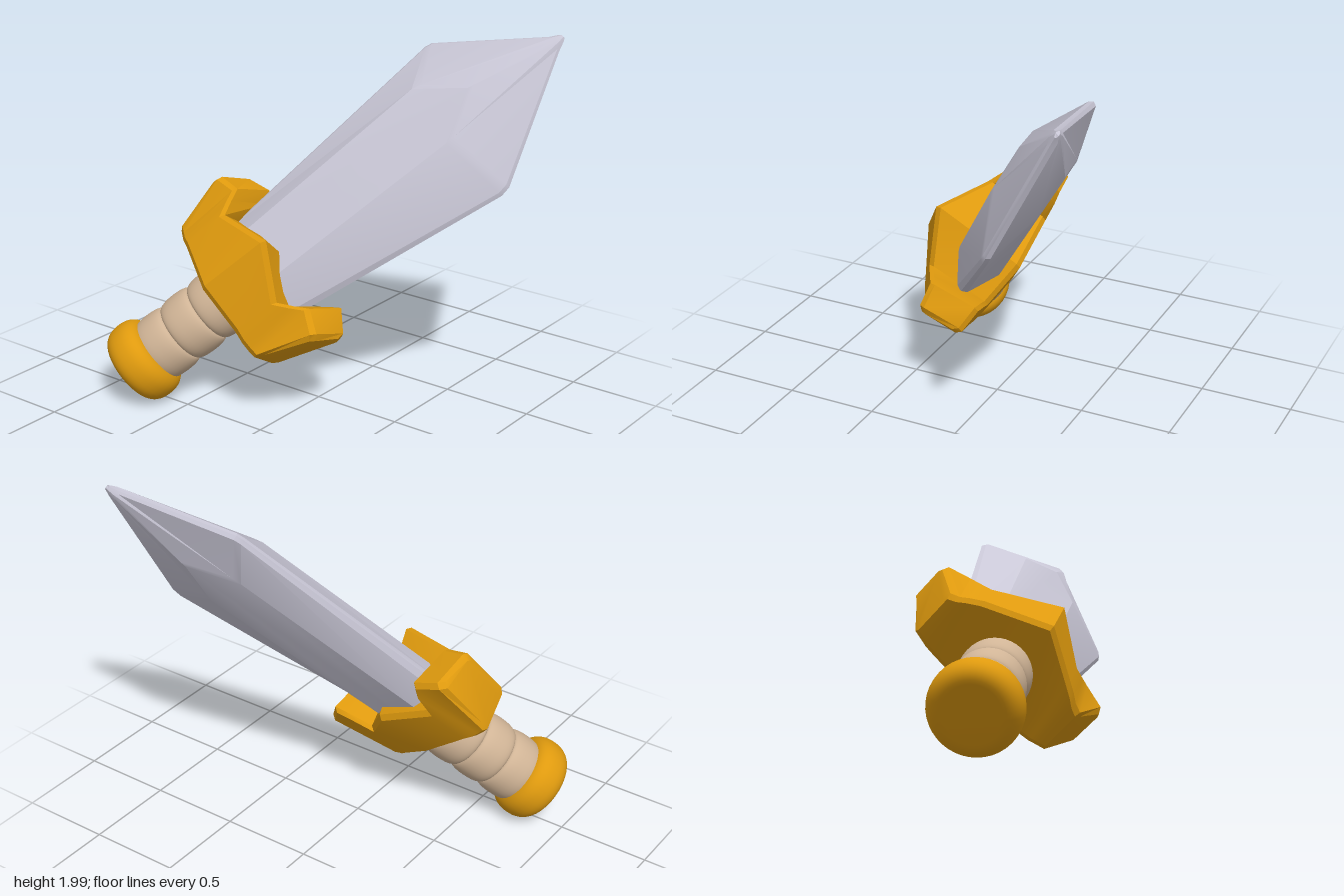
import * as THREE from 'three';
import { toCreasedNormals } from 'three/addons/utils/BufferGeometryUtils.js';

// Skin a list of closed rings (counterclockwise seen from the end) and cap both ends
function loft(rings, crease) {
  const n = rings[0].length, last = (rings.length - 1) * n, index = [];
  for (let r = 0; r < rings.length - 1; r++) {
    for (let i = 0; i < n; i++) {
      const a = r * n + i, b = r * n + (i + 1) % n;
      index.push(a, b, b + n, a, b + n, a + n);
    }
  }
  for (let i = 1; i < n - 1; i++) {
    index.push(0, i + 1, i);
    index.push(last, last + i, last + i + 1);
  }
  const g = new THREE.BufferGeometry();
  g.setAttribute('position', new THREE.Float32BufferAttribute(rings.flat(2), 3));
  g.setIndex(index);
  return toCreasedNormals(g.toNonIndexed(), crease);
}

// Blade section: centre line, flat panel edges and rounded cutting edges.
// left and right hold [panel x, panel y, edge x, edge y]; f and b are the panel depths.
function bladeRing({ center: [cx, cy], left, right, f, b, edgeZ, e }) {
  const rim = ([, , x, y], s) => [
    [x - s * e * 0.7, y, edgeZ + e], [x, y, edgeZ], [x - s * e * 0.7, y, edgeZ - e],
  ];
  return [
    [cx, cy, f], [right[0], right[1], f], ...rim(right, 1), [right[0], right[1], -b],
    [cx, cy, -b], [left[0], left[1], -b], ...rim(left, -1).reverse(), [left[0], left[1], f],
  ];
}

// Guard section: chamfered box; the top has its own height at the front (yf) and back (yr)
function guardRing([xb, xt, yb, yf, yr, f, b], side) {
  const c = 0.025;
  const pts = [
    [yf, f - c], [yf - c, f], [yb + c, f], [yb, f - c],
    [yb, c - b], [yb + c, -b], [yr - c, -b], [yr, c - b],
  ];
  return pts.map(([y, z]) => [
    side * THREE.MathUtils.lerp(xb, xt, Math.min(1, (y - yb) / (yf - yb))), y, z,
  ]);
}

export function createModel() {
  const mat = (name, color) => {
    const m = new THREE.MeshStandardMaterial({ color });
    m.name = name;
    return m;
  };
  const steel = mat('steel', 0xc9c7d6);
  const gold = mat('gold', 0xdf9a0e);
  const leather = mat('leather', 0xd0b496);

  const sword = new THREE.Group();
  sword.name = 'sword';
  const add = (name, geometry, material) => {
    const m = new THREE.Mesh(geometry, material);
    m.name = name;
    sword.add(m);
    return m;
  };

  // Blade: flat central panel ending in a chevron, widening to uneven shoulders, then the point
  add('blade', loft([
    { center: [0, 0.85], left: [-0.17, 0.85, -0.315, 0.85], right: [0.14, 0.85, 0.325, 0.85], f: 0.13, b: 0.13, edgeZ: -0.01, e: 0.032 },
    { center: [-0.04, 2.28], left: [-0.23, 2.04, -0.46, 2.2], right: [0.13, 2.03, 0.472, 2.09], f: 0.122, b: 0.135, edgeZ: -0.043, e: 0.02 },
    { center: [-0.037, 2.31], left: [-0.22, 2.09, -0.452, 2.24], right: [0.125, 2.08, 0.46, 2.145], f: 0.116, b: 0.13, edgeZ: -0.042, e: 0.02 },
    { center: [0, 2.77], left: [-0.02, 2.765, -0.05, 2.745], right: [0.02, 2.765, 0.05, 2.745], f: 0.022, b: 0.026, edgeZ: -0.004, e: 0.014 },
    { center: [0, 2.805], left: [-0.006, 2.805, -0.02, 2.797], right: [0.006, 2.805, 0.02, 2.797], f: 0.008, b: 0.012, edgeZ: -0.002, e: 0.006 },
  ].map(bladeRing), 0.33), steel);

  // Guard: ridged middle, notches beside the blade and upturned ends
  const half = [
    [0.28, 0.29, 0.59, 0.86, 0.86, 0.21, 0.17],
    [0.34, 0.35, 0.58, 0.92, 1.0, 0.175, 0.16],
    [0.38, 0.4, 0.578, 0.975, 1.055, 0.145, 0.148],
    [0.42, 0.525, 0.582, 0.93, 0.995, 0.125, 0.138],
    [0.435, 0.542, 0.61, 0.9, 0.965, 0.1, 0.113],
  ];
  add('guard', loft([
    ...half.slice().reverse().map((s) => guardRing(s, -1)),
    guardRing([0.045, 0.045, 0.6, 1.02, 0.955, 0.352, 0.2], 1),
    ...half.map((s) => guardRing(s, 1)),
  ], 0.45), gold);

  // Grip: three bulging wraps
  for (let k = 0; k < 3; k++) {
    const y0 = 0.07 + k * 0.185, pts = [];
    for (let i = 0; i <= 16; i++) {
      const a = Math.PI * i / 16;
      pts.push(new THREE.Vector2(
        0.152 + 0.032 * Math.pow(Math.abs(Math.sin(a)), 0.7),
        y0 + 0.0935 * (1 - Math.sign(Math.cos(a)) * Math.pow(Math.abs(Math.cos(a)), 0.9)),
      ));
    }
    add('gripWrap' + (k + 1), new THREE.LatheGeometry(pts, 40), leather).position.z = -0.012;
  }

  // Pommel: thick disc with a full rounded rim
  const rim = [new THREE.Vector2(0, -0.1)];
  for (let i = 0; i <= 20; i++) {
    const a = -Math.PI / 2 + Math.PI * i / 20;
    const s = Math.sin(a);
    rim.push(new THREE.Vector2(
      0.14 + 0.09 * Math.pow(Math.abs(Math.cos(a)), 0.85),
      0.005 + 0.105 * Math.sign(s) * Math.pow(Math.abs(s), 0.85),
    ));
  }
  rim.push(new THREE.Vector2(0, 0.11));
  add('pommel', toCreasedNormals(new THREE.LatheGeometry(rim, 40).toNonIndexed(), 0.5), gold);

  // Tilt the whole sword: local y runs from pommel to point, local z is the front face
  const y = new THREE.Vector3(0.616, 0.634, -0.467).normalize();
  const x = new THREE.Vector3(0.777, -0.588, 0.227);
  x.addScaledVector(y, -x.dot(y)).normalize();
  const z = new THREE.Vector3().crossVectors(x, y);
  sword.quaternion.setFromRotationMatrix(new THREE.Matrix4().makeBasis(x, y, z));
  sword.position.set(-0.765, 0.21, 0.55);

  const model = new THREE.Group();
  model.name = 'model';
  model.add(sword);
  return model;
}
